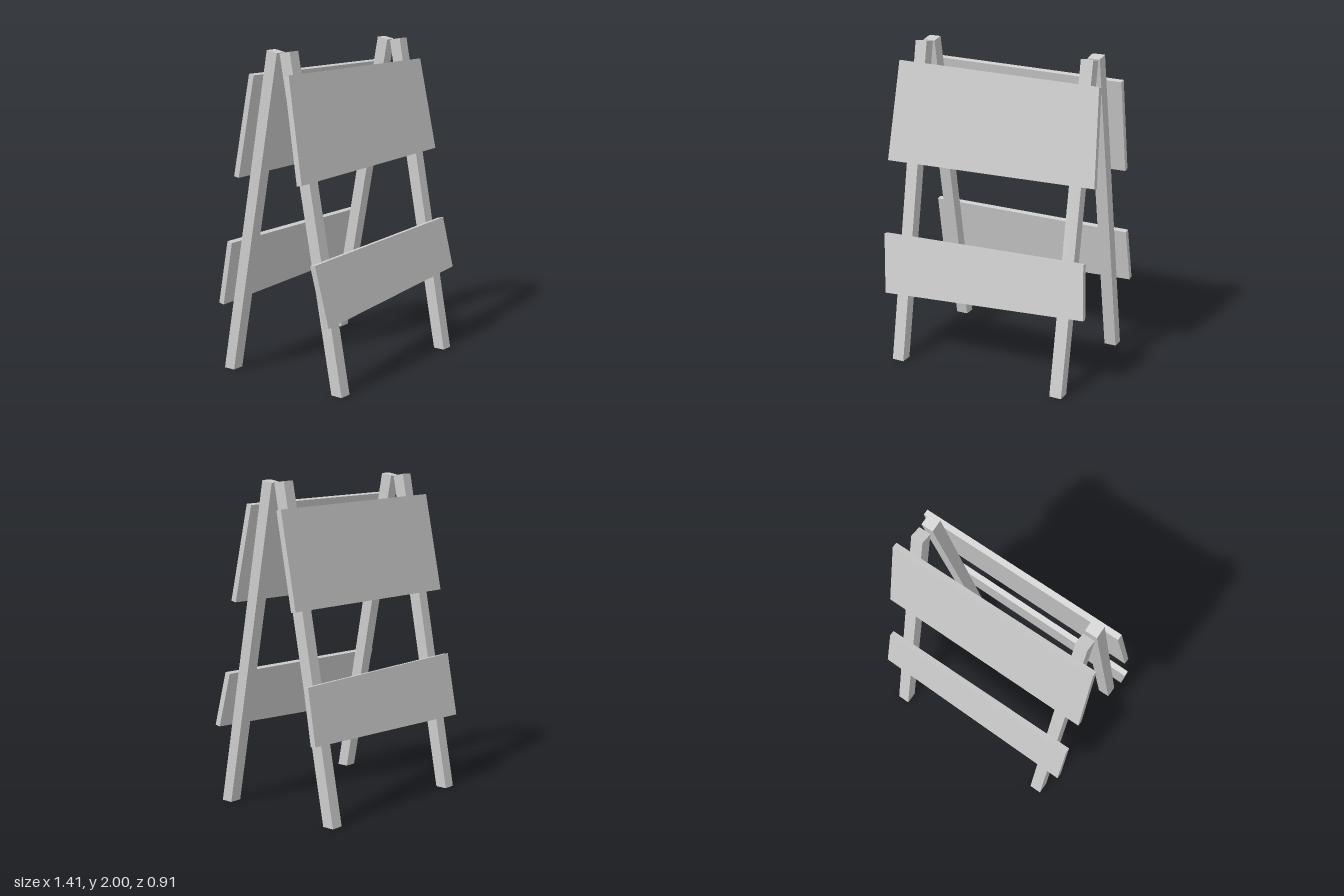
import * as THREE from 'three';

const material = new THREE.MeshStandardMaterial({ color: 0xcccccc, flatShading: true });
const FOOT_Z = 0.455;             // outer edge of the legs at the ground
const TILT = Math.atan(0.185);    // lean of each frame
const BOARD = 0.036;              // board thickness

function extrude(points, depth) {
  const shape = new THREE.Shape(points.map(([x, y]) => new THREE.Vector2(x, y)));
  return new THREE.ExtrudeGeometry(shape, { depth, bevelEnabled: false });
}

// Leaning post: level cut at the ground, square cut at the top
function leg(name, x) {
  const width = 0.078;
  const profile = [[0.38, 0], [FOOT_Z, 0], [0.085, 2], [0.01, 1.986]];
  const geometry = extrude(profile, width);
  geometry.translate(0, 0, -width / 2);
  geometry.rotateY(-Math.PI / 2);
  const mesh = new THREE.Mesh(geometry, material);
  mesh.name = name;
  mesh.position.x = x;
  return mesh;
}

// Crooked board lying on the outer face of the legs; corners are [x, height]
function board(name, corners) {
  const lift = BOARD * Math.sin(TILT) / 2;
  const points = corners.map(([x, y]) => [x, (y - lift) / Math.cos(TILT)]);
  const mesh = new THREE.Mesh(extrude(points, BOARD), material);
  mesh.name = name;
  mesh.position.z = FOOT_Z;
  mesh.rotation.x = -TILT;
  return mesh;
}

// One leaning half; the back half is turned around, so its x values flip
function frame(name, side, upper, lower) {
  const group = new THREE.Group();
  group.name = name;
  const flip = (corners) => corners.map(([x, y]) => [x * side, y]);
  group.add(
    leg('rightLeg', -0.551 * side),
    leg('leftLeg', 0.559 * side),
    board('upperBoard', flip(upper)),
    board('lowerBoard', flip(lower))
  );
  if (side < 0) group.rotation.y = Math.PI;
  return group;
}

export function createModel() {
  const model = new THREE.Group();
  model.name = 'folding barricade';
  model.add(
    frame('frontFrame', 1,
      [[-0.706, 1.257], [0.697, 1.283], [0.666, 1.86], [-0.674, 1.873]],
      [[-0.657, 0.427], [0.705, 0.508], [0.674, 0.837], [-0.695, 0.8]]),
    frame('backFrame', -1,
      [[-0.694, 1.252], [0.692, 1.263], [0.694, 1.842], [-0.678, 1.863]],
      [[-0.682, 0.447], [0.686, 0.495], [0.677, 0.835], [-0.679, 0.843]])
  );
  return model;
}
